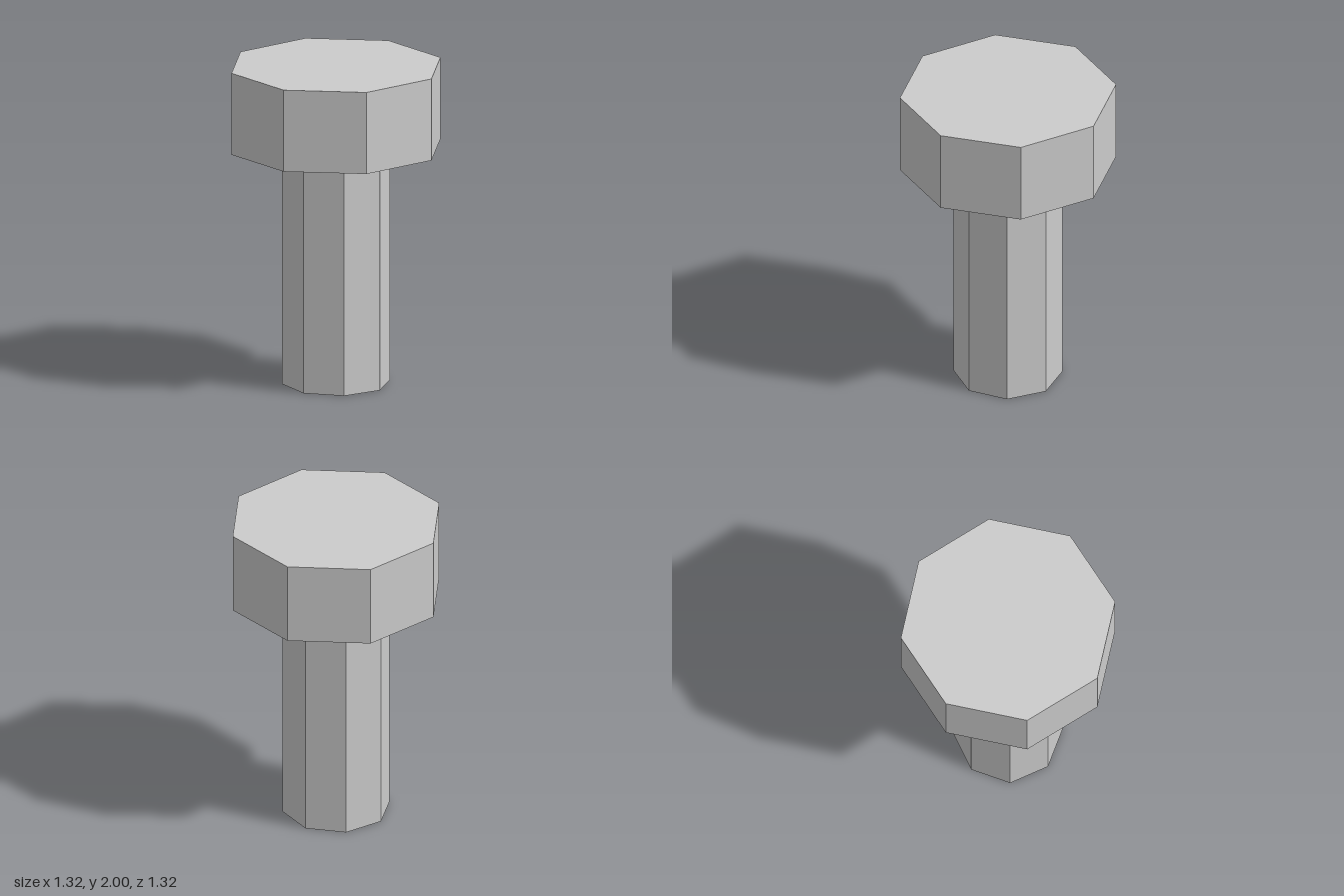
import * as THREE from 'three';

const SIDES = 8;

// Upright octagonal prism between two heights, turned about y
function prism(name, radius, bottom, top, turn, material) {
  const geometry = new THREE.CylinderGeometry(radius, radius, top - bottom, SIDES);
  const mesh = new THREE.Mesh(geometry, material);
  mesh.name = name;
  mesh.position.y = (bottom + top) / 2;
  mesh.rotation.y = turn;
  return mesh;
}

export function createModel() {
  const group = new THREE.Group();
  group.name = 'bolt';
  const material = new THREE.MeshStandardMaterial({ color: 0xcccccc, flatShading: true });

  // Shaft, with corners on the axes
  group.add(prism('shaft', 0.332, 0, 1.485, 0, material));

  // Wider head, turned slightly against the shaft
  group.add(prism('head', 0.664, 1.485, 2, 0.136, material));

  return group;
}
